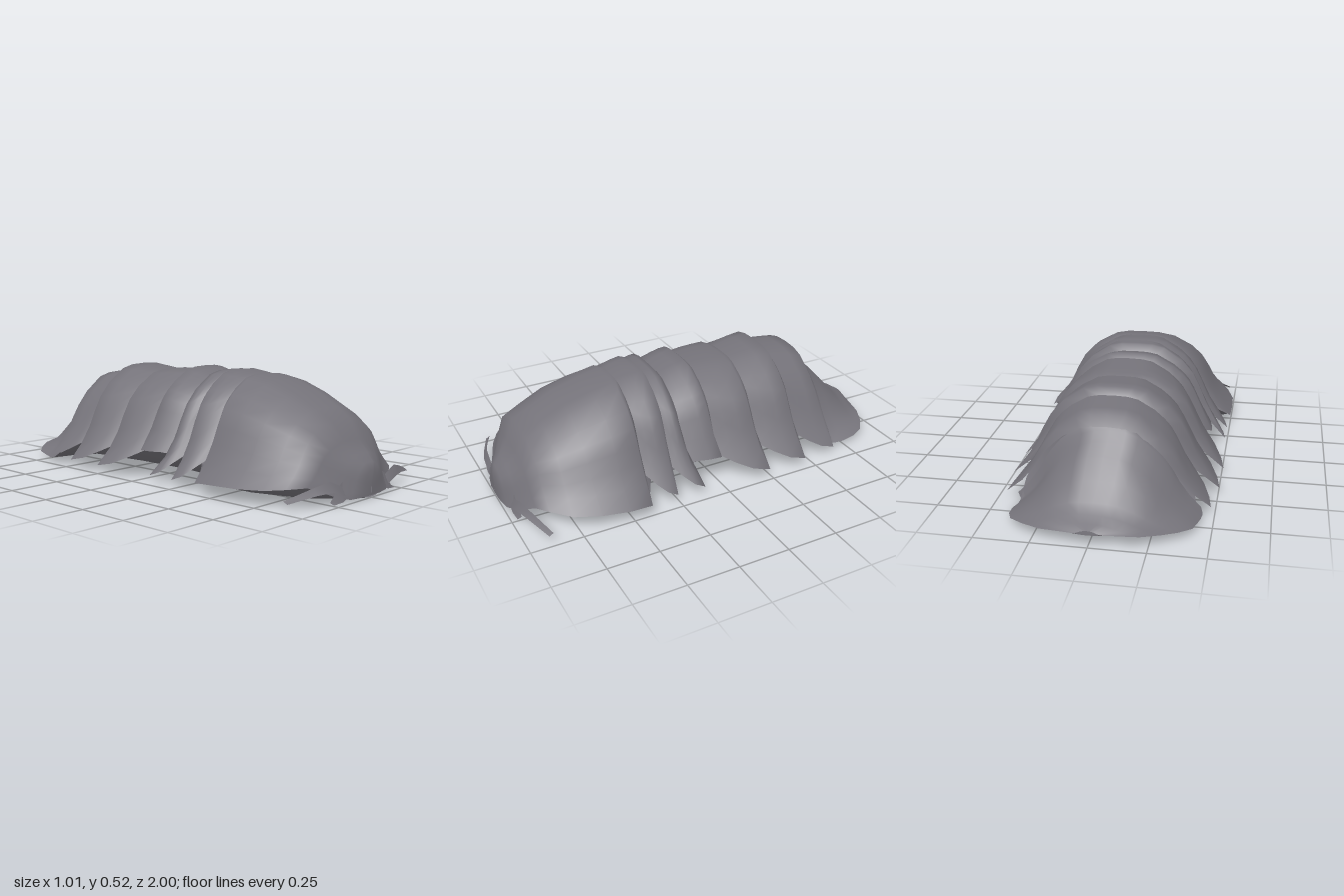
import * as THREE from 'three';

const shellGrey = new THREE.MeshStandardMaterial({ color: 0x75737a, side: THREE.DoubleSide });
shellGrey.name = 'shellGrey';

// Half cross-sections from centre to rim: [share of width, share of height]
const ARCH = [[0, 1], [0.17, 0.995], [0.3, 0.965], [0.5, 0.83], [0.62, 0.69], [0.7, 0.53], [0.77, 0.36], [0.87, 0.18], [1, 0]];
const SKIRT = [[0, 1], [0.17, 0.975], [0.31, 0.9], [0.46, 0.73], [0.57, 0.55], [0.66, 0.39], [0.76, 0.25], [0.87, 0.12], [1, 0]];
const KEEL = [[0, 0], [0.4, 0.05], [0.6, 0.2], [0.8, 0.52], [1, 1]];

// Height share of a half cross-section at a given width share
function heightAt(half, x) {
  const i = Math.max(1, half.findIndex(([px]) => px >= x));
  const [x0, y0] = half[i - 1], [x1, y1] = half[i];
  return y0 + (y1 - y0) * (x - x0) / (x1 - x0);
}

// Skins a strip across sections; cut trims the rim, sweep pulls it along z,
// dx shifts it sideways and bend leads from the given profile to the skirt
function loft(name, half, sections) {
  const shares = [...half.slice(1).reverse().map(([x]) => -x), ...half.map(([x]) => x)];
  const pos = [], idx = [], n = shares.length;
  for (const { z, w, top, base, sweep = 0, cut = 1, dx = 0, bend = 0 } of sections)
    for (const s of shares) {
      const x = s * cut, ax = Math.abs(x);
      const share = heightAt(half, ax) * (1 - bend) + heightAt(SKIRT, ax) * bend;
      pos.push(dx + x * w, base + (top - base) * share, z + sweep * s ** 6);
    }
  for (let r = 0; r < sections.length - 1; r++)
    for (let i = 0; i < n - 1; i++) {
      const a = r * n + i, b = a + n;
      idx.push(a, a + 1, b, a + 1, b + 1, b);
    }
  return surface(name, pos, idx);
}

function surface(name, pos, idx) {
  const g = new THREE.BufferGeometry();
  g.setAttribute('position', new THREE.Float32BufferAttribute(pos, 3));
  g.setIndex(idx);
  g.computeVertexNormals();
  const mesh = new THREE.Mesh(g, shellGrey);
  mesh.name = name;
  return mesh;
}

// Thin blade along a list of points, with a half height at each
function blade(name, points, heights) {
  const pos = [], idx = [];
  points.forEach(([x, y, z], i) => {
    pos.push(x, y + heights[i], z, x, y - heights[i], z + 0.02);
    if (i) idx.push(2 * i - 2, 2 * i - 1, 2 * i, 2 * i - 1, 2 * i + 1, 2 * i);
  });
  return surface(name, pos, idx);
}

const sec = ([z, w, top, base, dx, bend]) => ({ z, w, top, base, dx, bend });

// Trimmed section where a plate slides out from under the one before it
const tucked = (z, top, bend = 0) => ({ z, w: 0.44, top, base: 0.07, cut: 0.87, dx: -0.01, bend });

export function createModel() {
  const model = new THREE.Group();
  model.name = 'armouredCrawler';

  // Head shield, from blunt snout to flared rear corners, tucked in behind
  model.add(loft('headShield', ARCH, [
    ...[
      [1.0, 0.001, 0.07, 0.02], [0.998, 0.07, 0.13, 0.02], [0.985, 0.14, 0.165, 0.02], [0.95, 0.21, 0.2, 0.04],
      [0.9, 0.32, 0.255, 0.09, -0.015], [0.855, 0.39, 0.34, 0.09, -0.03], [0.77, 0.45, 0.385, 0.08, -0.015],
      [0.65, 0.49, 0.445, 0.075, -0.01], [0.52, 0.503, 0.49, 0.07], [0.41, 0.5, 0.512, 0.065],
    ].map(sec),
    tucked(0.385, 0.512),
  ]));

  // Overlapping body plates: rear z, half width, crown height, tip sweep, rim trim, step down behind, skirt bend
  const plates = [
    [0.27, 0.48, 0.528, -0.01, 1, 0.003, 0], [0.185, 0.48, 0.522, -0.07, 1, 0.03, 0],
    [0.02, 0.485, 0.53, -0.03, 0.86, 0.022, 0], [-0.205, 0.495, 0.503, -0.035, 1, 0.008, 0],
    [-0.43, 0.492, 0.517, -0.02, 1, 0.035, 0.1], [-0.63, 0.468, 0.462, -0.01, 1, 0.05, 0.4],
  ];
  let start = tucked(0.385, 0.512);
  plates.forEach(([z, w, top, sweep, cut, step, bend], i) => {
    const mix = (t, flare, base) => ({
      z: start.z + (z - start.z) * t, w: 0.44 + (w - 0.44) * flare, base, sweep: sweep * t, dx: -0.015,
      top: start.top + (top - start.top) * t, cut: 0.87 + (cut - 0.87) * flare, bend: start.bend + (bend - start.bend) * t,
    });
    const end = tucked(z - 0.025, top - step, bend);
    model.add(loft(`bodyPlate${i + 1}`, ARCH, [
      start, mix(0.3, 0.5, 0.07), mix(0.65, 0.85, 0.06), mix(1, 1, 0.055), end,
    ]));
    start = end;
  });

  // Tail fan: a steep hump spreading into a thin rounded rim
  model.add(loft('tail', ARCH, [
    [-0.64, 0.42, 0.425, 0.05, -0.02, 0.4], [-0.665, 0.415, 0.4, 0.03, -0.035, 0.5], [-0.7, 0.415, 0.36, 0.025, -0.03, 0.65],
    [-0.75, 0.415, 0.31, 0.03, -0.02, 0.85], [-0.82, 0.405, 0.235, 0.04, -0.015, 1], [-0.88, 0.365, 0.16, 0.05, 0, 1],
    [-0.93, 0.3, 0.125, 0.06, 0, 1], [-0.97, 0.215, 0.105, 0.065, 0, 1], [-1.0, 0.06, 0.09, 0.075, 0, 1],
  ].map(sec)));

  // Underside: base is the keel line, top is the edge meeting the shell
  const floor = [
    [0.997, 0.07, 0.012, 0.03, 0], [0.95, 0.21, 0.01, 0.045, 0], [0.9, 0.315, 0.01, 0.09, -0.015],
    [0.855, 0.385, 0.01, 0.09, -0.03], [0.77, 0.445, 0.01, 0.08, -0.015], [0.65, 0.485, 0.01, 0.075, -0.01],
    [0.42, 0.485, 0.01, 0.07, 0], [0.36, 0.39, 0.012, 0.13, -0.01], [0.1, 0.385, 0.018, 0.155, -0.01],
    [-0.2, 0.385, 0.018, 0.15, -0.01], [-0.6, 0.385, 0.015, 0.11, -0.015], [-0.69, 0.41, 0.015, 0.025, -0.03],
    [-0.82, 0.4, 0.03, 0.04, -0.015], [-0.93, 0.295, 0.05, 0.06, 0], [-1.0, 0.055, 0.07, 0.075, 0],
  ];
  model.add(loft('belly', KEEL, floor.map(([z, w, base, top, dx]) => ({ z, w, base, top, dx }))));

  // Feelers and mouth spikes, mirrored
  for (const [side, s] of [['left', 1], ['right', -1]]) {
    model.add(blade(`${side}Feeler`,
      [[s * 0.17, 0.06, 0.96], [s * 0.25, 0.09, 0.955], [s * 0.33, 0.08, 0.93], [s * 0.47, 0.05, 0.88]],
      [0.02, 0.022, 0.015, 0.006]));
    model.add(blade(`${side}MouthSpike`,
      [[s * 0.13, 0.07, 0.95], [s * 0.18, 0.05, 0.955], [s * 0.24, 0.015, 0.95]], [0.04, 0.035, 0.004]));
  }
  return model;
}
